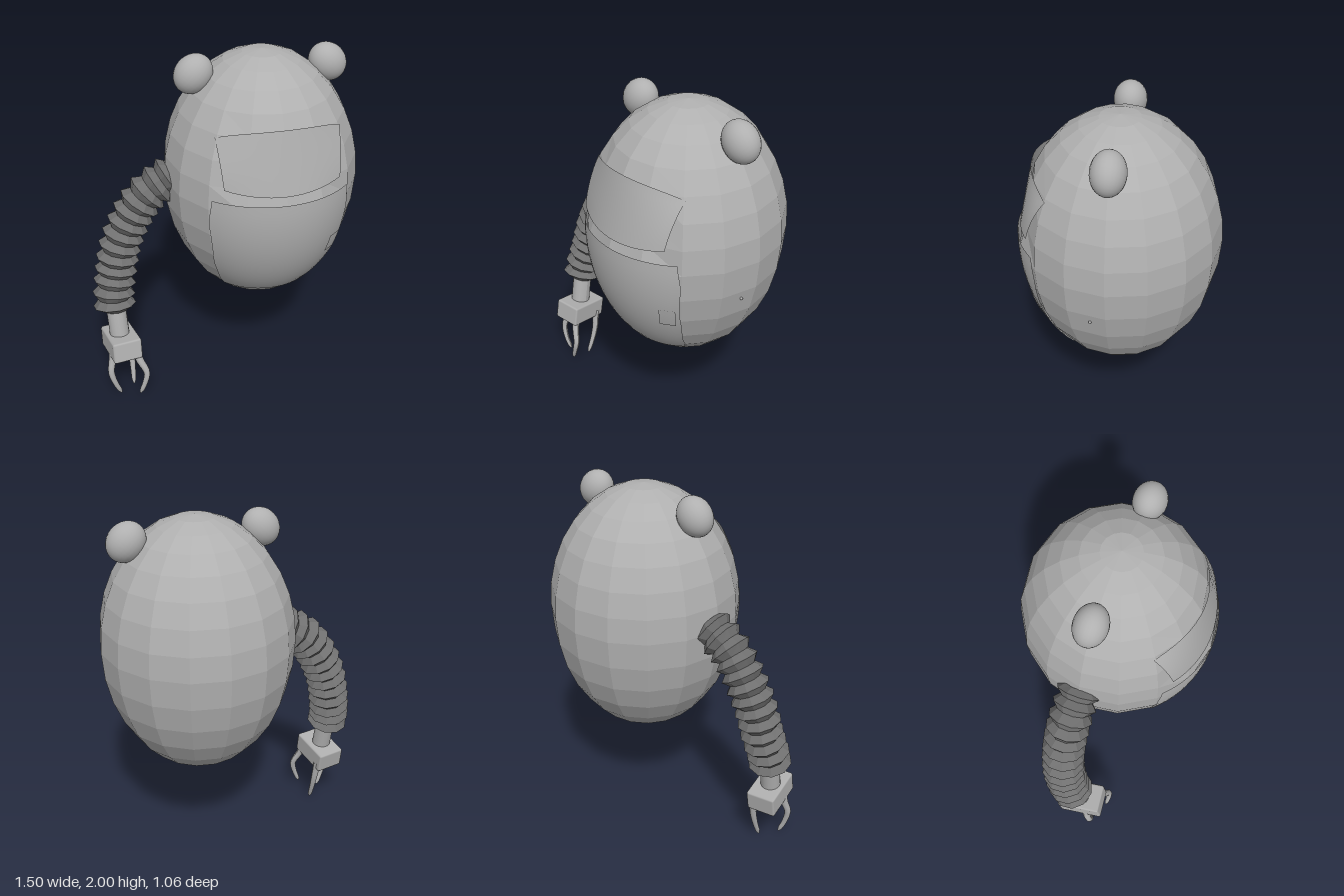
import * as THREE from 'three';
import { RoundedBoxGeometry } from 'three/addons/geometries/RoundedBoxGeometry.js';

const CX = 0.215, MID = 1.31, R = 0.53;

// shell radius at a height: an egg with a slightly longer lower half
const shellRadius = (y) => {
  const t = (y - MID) / (y > MID ? 0.69 : 0.745);
  return R * Math.sqrt(Math.max(0, 1 - t * t));
};
// straight front slope of the visor
const visorLine = (y) => THREE.MathUtils.lerp(0.512, 0.436, (y - 1.4) / 0.34);

function flat(geo) {
  const g = geo.index ? geo.toNonIndexed() : geo;
  g.computeVertexNormals();
  return g;
}

// curved sheet wrapped on the shell; point(u, v) gives [halfWidth, y, radius], u in -1..1
function wrapped(nu, nv, point) {
  const g = new THREE.PlaneGeometry(2, 1, nu, nv);
  const p = g.attributes.position;
  for (let i = 0; i < p.count; i++) {
    const u = p.getX(i);
    const [hw, y, r] = point(u, p.getY(i) + 0.5);
    const a = u * Math.asin(Math.min(1, hw / r));
    p.setXYZ(i, CX + r * Math.sin(a), y, r * Math.cos(a));
  }
  g.computeVertexNormals();
  return g;
}

// tube whose radius follows a rule along its length
function taperedTube(points, segments, sides, radius) {
  const curve = new THREE.CatmullRomCurve3(points.map((p) => new THREE.Vector3(...p)));
  const g = new THREE.TubeGeometry(curve, segments, 1, sides);
  const p = g.attributes.position, v = new THREE.Vector3();
  for (let i = 0; i < p.count; i++) {
    const row = Math.floor(i / (sides + 1));
    const c = curve.getPointAt(row / segments);
    v.fromBufferAttribute(p, i).sub(c).multiplyScalar(radius(row)).add(c);
    p.setXYZ(i, v.x, v.y, v.z);
  }
  g.computeVertexNormals();
  return g;
}

export function createModel() {
  const model = new THREE.Group();
  const material = (name, color, side = THREE.FrontSide) => {
    const m = new THREE.MeshStandardMaterial({ color, side });
    m.name = name;
    return m;
  };
  const grey = material('light grey', 0xb0b0b0, THREE.DoubleSide);
  const dark = material('dark grey', 0x707070, THREE.DoubleSide);
  const add = (name, geo, mat, parent = model) => {
    const m = new THREE.Mesh(geo, mat);
    m.name = name;
    parent.add(m);
    return m;
  };

  // faceted shell with a recessed underside
  const profile = [[0, 0.715], [0.225, 0.715]];
  for (let d = -60; d < 0; d += 12) {
    const a = THREE.MathUtils.degToRad(d);
    profile.push([R * Math.cos(a), MID + 0.745 * Math.sin(a)]);
  }
  for (let i = 0; i <= 8; i++) {
    const a = (i / 8) * Math.PI / 2;
    profile.push([i === 8 ? 0 : R * Math.cos(a), MID + 0.69 * Math.sin(a)]);
  }
  const shell = new THREE.LatheGeometry(profile.map((p) => new THREE.Vector2(...p)), 16);
  const sp = shell.attributes.position;
  for (let i = 0; i < sp.count; i++) {
    const x = sp.getX(i), y = sp.getY(i), z = sp.getZ(i);
    // press the front in behind the visor
    if (y > 1.4 && y < 1.74 && z > 0 && Math.abs(Math.atan2(x, z)) < 0.5) {
      const k = Math.min(1, (visorLine(y) - 0.012) / Math.hypot(x, z));
      sp.setXYZ(i, x * k, y, z * k);
    }
  }
  add('bodyShell', flat(shell), grey).position.x = CX;

  // visor across the face
  add('visor', wrapped(16, 8, (u, v) => {
    const y = THREE.MathUtils.lerp(1.41 + 0.03 * u * u, 1.74 - 0.06 * u * u, v);
    const line = visorLine(y);
    return [THREE.MathUtils.lerp(0.305, 0.325, v), y, line + (shellRadius(y) - line) * u * u + 0.003];
  }), grey);

  // smooth belly panel, its lowest row tucked into the shell
  const widths = [[0.73, 0.25], [0.78, 0.28], [0.95, 0.335], [1.24, 0.375], [1.37, 0.36]];
  const widthAt = (y) => {
    let i = 0;
    while (i < widths.length - 2 && y > widths[i + 1][0]) i++;
    const [a, b] = [widths[i], widths[i + 1]];
    return THREE.MathUtils.mapLinear(y, a[0], b[0], a[1], b[1]);
  };
  add('bellyPanel', wrapped(20, 14, (u, v) => {
    const y = 0.73 + 0.64 * Math.max(0, (v - 1 / 14) * 14 / 13);
    const tuck = v < 0.01 ? -0.03 : 0.004;
    return [widthAt(y), y, shellRadius(y) + tuck];
  }), grey);

  // small hatch on the belly
  const hatch = wrapped(4, 4, (u, v) => {
    const y = 0.98 + 0.11 * v;
    return [0.042, y, shellRadius(y) + 0.009];
  });
  hatch.translate(-CX, 0, 0).rotateY(0.645).translate(CX, 0, 0);
  add('bellyHatch', hatch, grey);

  // side button
  const button = add('sideButton', new THREE.SphereGeometry(0.008, 8, 6), grey);
  button.position.set(CX + 0.498, 1.11, 0.08);

  // round ears leaning outward
  for (const s of [-1, 1]) {
    const ear = add(s < 0 ? 'rightEar' : 'leftEar', new THREE.SphereGeometry(1, 24, 16), grey);
    ear.scale.set(0.097, 0.11, 0.087);
    ear.position.set(CX + s * 0.36, 1.895, 0);
    ear.rotation.z = s * 0.75;
  }

  // bellows arm
  const arm = new THREE.Group();
  arm.name = 'rightArm';
  model.add(arm);
  const ridges = 13, rows = ridges * 2;
  add('bellows', flat(taperedTube([
    [-0.26, 1.33, -0.015], [-0.41, 1.23, -0.01], [-0.51, 1.09, -0.005], [-0.58, 0.93, 0.01],
    [-0.615, 0.78, 0.03], [-0.64, 0.64, 0.065], [-0.64, 0.55, 0.09],
  ], rows, 10, (i) => (i === rows ? 0.065 : i % 2 ? 0.122 : 0.088))), dark, arm);

  // wrist and hand block
  add('wrist', taperedTube([[-0.638, 0.58, 0.085], [-0.634, 0.48, 0.105], [-0.63, 0.37, 0.125]],
    4, 16, () => 0.056), grey, arm);
  const hand = add('handBlock', new RoundedBoxGeometry(0.17, 0.125, 0.255, 1, 0.012), grey, arm);
  hand.position.set(-0.625, 0.342, 0.13);
  hand.rotation.set(-0.17, 0.17, 0);

  // three bent fingers
  const fingers = [
    [[-0.685, 0.31, 0.175], [-0.692, 0.26, 0.185], [-0.705, 0.19, 0.205], [-0.685, 0.1, 0.21], [-0.655, 0.022, 0.2]],
    [[-0.57, 0.31, 0.04], [-0.57, 0.26, 0.05], [-0.565, 0.19, 0.06], [-0.565, 0.1, 0.085], [-0.568, 0.002, 0.122]],
    [[-0.55, 0.31, 0.22], [-0.538, 0.27, 0.235], [-0.505, 0.19, 0.258], [-0.52, 0.12, 0.262], [-0.548, 0.045, 0.257]],
  ];
  fingers.forEach((path, n) => {
    add('finger' + (n + 1), taperedTube(path, 12, 10,
      (i) => (i === 12 ? 0.006 : 0.023 - 0.0009 * i)), grey, arm);
  });

  return model;
}
